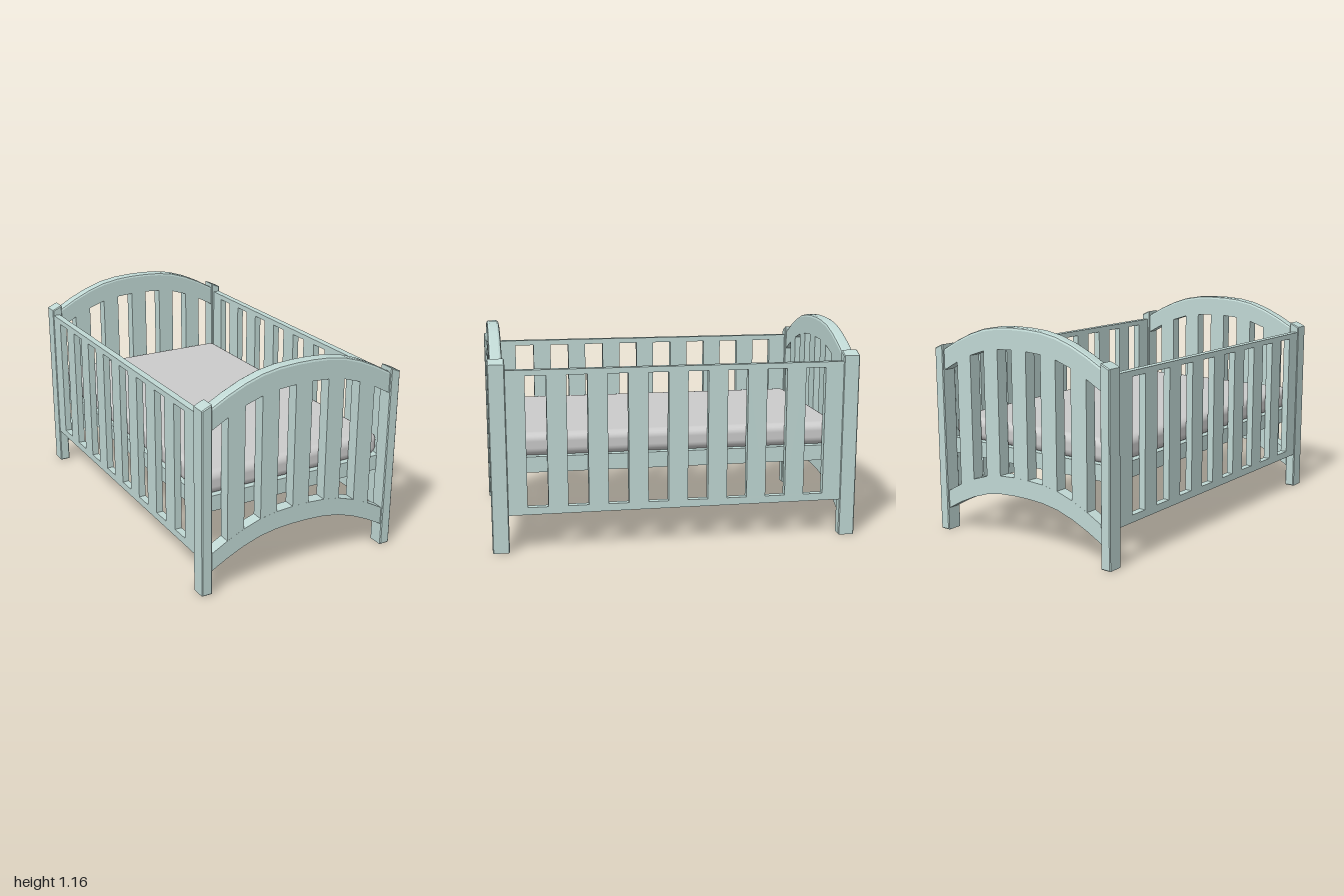
import * as THREE from 'three';
import { RoundedBoxGeometry } from 'three/addons/geometries/RoundedBoxGeometry.js';

const paint = new THREE.MeshStandardMaterial({ color: 0xc0d8d4 });
const fabric = new THREE.MeshStandardMaterial({ color: 0xcccccc });

function add(parent, name, geometry, material, x = 0, y = 0, z = 0) {
  const mesh = new THREE.Mesh(geometry, material);
  mesh.name = name;
  mesh.position.set(x, y, z);
  parent.add(mesh);
  return mesh;
}

function polygon(points) {
  return new THREE.Shape(points.map(([x, y]) => new THREE.Vector2(x, y)));
}

// Arch: how far the end rails fall below their crown, per step from the middle
const STEP = 0.0973;
const DROPS = [0, 0.006, 0.023, 0.055, 0.099, 0.152];
function drop(x) {
  const t = Math.min(Math.max(Math.abs(x) / STEP - 0.5, 0), 5);
  const i = Math.min(Math.floor(t), 4);
  return THREE.MathUtils.lerp(DROPS[i], DROPS[i + 1], t - i);
}

// Rail of constant height, swept along x and bent down by the arch
function archedRail(height, depth, round) {
  const d = depth / 2, r = round;
  const top = r
    ? [[d, -r], [d - r * 0.3, -r * 0.3], [d - r, 0], [-d + r, 0], [-d + r * 0.3, -r * 0.3], [-d, -r]]
    : [[d, 0], [-d, 0]];
  const section = polygon([[-d, -height], [d, -height], ...top]);
  const geo = new THREE.ExtrudeGeometry(section, { depth: STEP * 11, steps: 11, bevelEnabled: false });
  geo.rotateY(Math.PI / 2).translate(-STEP * 5.5, 0, 0);
  const p = geo.attributes.position;
  for (let i = 0; i < p.count; i++) p.setY(i, p.getY(i) - drop(p.getX(i)));
  geo.computeVertexNormals();
  return geo;
}

function endPanel(name, z) {
  const panel = new THREE.Group();
  panel.name = name;
  panel.position.z = z;
  const depth = 0.068;
  add(panel, 'topRail', archedRail(0.116, depth, 0.014), paint, 0, 1.162, 0);
  add(panel, 'bottomRail', archedRail(0.099, depth, 0), paint, 0, 0.275 + 0.099, 0);
  for (let i = -2; i <= 2; i++) {
    const x = i * STEP * 2;
    const low = 0.325 - drop(x), high = 1.1 - drop(x);
    add(panel, 'endSlat', new THREE.BoxGeometry(STEP, high - low, depth - 0.001), paint, x, (low + high) / 2, 0);
  }
  return panel;
}

// Side panel: one board with a row of upright openings
function sidePanel() {
  const shape = polygon([[-0.915, 0.205], [0.915, 0.205], [0.915, 0.98], [-0.915, 0.98]]);
  for (let i = 0; i < 8; i++) {
    const c = (i - 3.5) * 0.2157, w = 0.055;
    shape.holes.push(polygon([[c - w, 0.245], [c - w, 0.95], [c + w, 0.95], [c + w, 0.245]]));
  }
  return new THREE.ExtrudeGeometry(shape, { depth: 0.038, bevelEnabled: false })
    .rotateY(Math.PI / 2).translate(-0.019, 0, 0);
}

// Post with a top sloping down to the outside and lightly eased edges
function post(side) {
  const b = 0.005;
  const pts = [[-0.029 + b, b], [0.029 - b, b], [0.029 - b, 1.013 - b], [-0.015, 1.031 - b], [-0.029 + b, 1.034 - b]];
  const shape = polygon(pts.map(([x, y]) => [x * side, y]));
  return new THREE.ExtrudeGeometry(shape, {
    depth: 0.09 - 2 * b, bevelSize: b, bevelThickness: b, bevelSegments: 1,
  }).translate(0, 0, -0.045 + b);
}

export function createModel() {
  const bed = new THREE.Group();
  bed.name = 'crib';

  bed.add(endPanel('frontPanel', 0.953), endPanel('backPanel', -0.953));

  for (const side of [1, -1]) {
    const label = side > 0 ? 'left' : 'right';
    add(bed, label + 'SidePanel', sidePanel(), paint, side * 0.567, 0, 0);
    add(bed, label + 'FrontPost', post(side), paint, side * 0.561, 0, 0.955);
    add(bed, label + 'BackPost', post(side), paint, side * 0.561, 0, -0.955);
  }

  // Bed base and mattress
  add(bed, 'base', new THREE.BoxGeometry(1.1, 0.085, 1.84), paint, 0, 0.4685, 0);
  add(bed, 'mattress', new RoundedBoxGeometry(1.09, 0.126, 1.83, 3, 0.045), fabric, 0, 0.573, 0);

  return bed;
}
